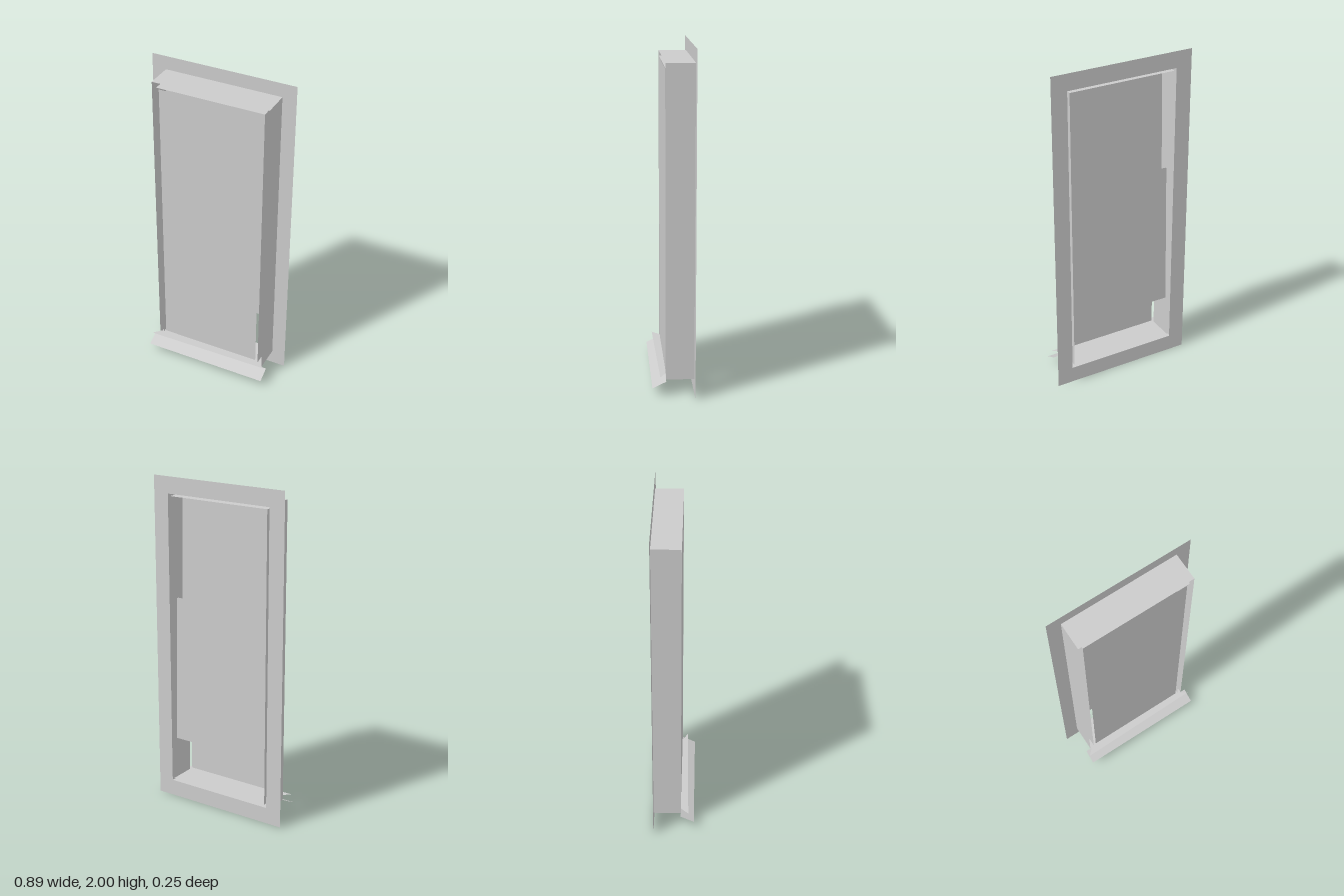
import * as THREE from 'three';

const sheet = new THREE.MeshStandardMaterial({ color: 0xcccccc, flatShading: true, side: THREE.DoubleSide });

const vectors = (points) => points.map(([x, y]) => new THREE.Vector2(x, y));
const taper = (w0, w1, y0, y1) => vectors([[-w0, y0], [w0, y0], [w1, y1], [-w1, y1]]);
const rect = (halfW, y0, y1) => taper(halfW, halfW, y0, y1);

// Flat sheet facing z, optionally with an opening
function flatPart(name, points, z, hole) {
  const shape = new THREE.Shape(points);
  if (hole) shape.holes.push(new THREE.Path(hole));
  const mesh = new THREE.Mesh(new THREE.ShapeGeometry(shape), sheet);
  mesh.name = name;
  mesh.position.z = z;
  return mesh;
}

// Four-cornered sheet anywhere in space
function quad(name, a, b, c, d) {
  const geo = new THREE.BufferGeometry();
  geo.setAttribute('position', new THREE.Float32BufferAttribute([a, b, c, a, c, d].flat(), 3));
  geo.computeVertexNormals();
  const mesh = new THREE.Mesh(geo, sheet);
  mesh.name = name;
  return mesh;
}

// Four thin walls running front to back, open at both ends
function openBox(name, halfW, y0, y1, z0, z1) {
  const group = new THREE.Group();
  group.name = name;
  const corners = rect(halfW, y0, y1);
  ['bottom', 'left', 'top', 'right'].forEach((side, i) => {
    const a = corners[i];
    const b = corners[(i + 1) % 4];
    group.add(quad(`${side}Wall`, [a.x, a.y, z0], [b.x, b.y, z0], [b.x, b.y, z1], [a.x, a.y, z1]));
  });
  return group;
}

// Sash: rails narrowing upwards around a pane in two steps
function sash(name, y, z) {
  const group = new THREE.Group();
  group.name = name;
  group.add(flatPart('rails', taper(0.325, 0.308, 0, 0.9), 0, taper(0.29, 0.3, 0.08, 0.885)));
  group.add(flatPart('lowerPane', rect(0.305, 0.06, 0.47), 0.012));
  group.add(flatPart('upperPane', rect(0.305, 0.46, 0.9), 0.006));
  group.position.set(0, y, z);
  return group;
}

export function createModel() {
  const model = new THREE.Group();
  model.name = 'window';

  // Flat inner trim around the opening
  model.add(flatPart('trim', rect(0.443, 0, 2), -0.123, rect(0.345, 0.1, 1.9)));

  // Outer frame and the jamb liner inside it
  model.add(openBox('frame', 0.358, 0.09, 1.917, -0.123, 0.042));
  model.add(openBox('jambLiner', 0.331, 0.117, 1.887, -0.123, 0.042));

  // Front screen and the two overlapping sashes behind it
  model.add(flatPart('screen', rect(0.315, 0.13, 1.88), 0.042));
  model.add(sash('upperSash', 0.98, -0.03));
  model.add(sash('lowerSash', 0.38, -0.1));

  // Sloping sill with a level ledge above it
  model.add(quad('sill', [-0.39, 0.05, 0.122], [0.39, 0.05, 0.122], [0.39, 0.09, 0.042], [-0.39, 0.09, 0.042]));
  model.add(quad('sillLedge', [-0.39, 0.117, 0.088], [0.39, 0.117, 0.076], [0.325, 0.117, 0.042], [-0.345, 0.117, 0.042]));

  return model;
}
